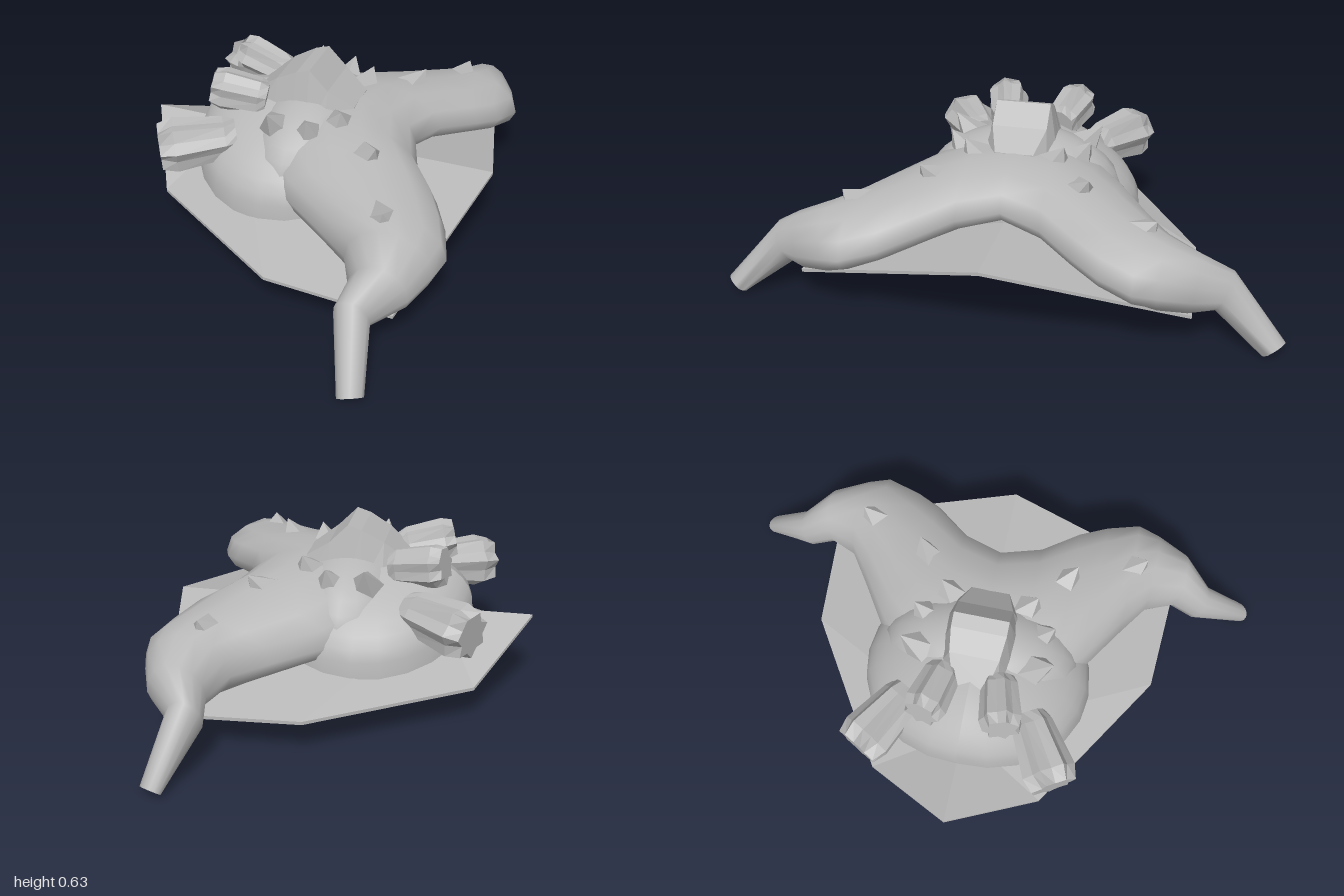
import * as THREE from 'three';

const armour = new THREE.MeshStandardMaterial({ color: 0xb8b8b8, side: THREE.DoubleSide });
armour.name = 'grey armour';

// Height of the tent-shaped plate at a given z
const plateY = z => 0.295 - 0.24 * Math.abs(z);

function buildGeometry(points, index, flat) {
  let g = new THREE.BufferGeometry();
  g.setAttribute('position', new THREE.Float32BufferAttribute(points.flat(), 3));
  g.setIndex(index);
  if (flat) g = g.toNonIndexed();
  g.computeVertexNormals();
  return g;
}

// Skin through rings of equal size, closed with a fan at both ends
function loft(rings, flat) {
  const n = rings[0].length, pts = rings.flat(), index = [];
  for (let i = 0; i < rings.length - 1; i++)
    for (let j = 0; j < n; j++) {
      const a = i * n + j, b = i * n + (j + 1) % n;
      index.push(a, b, a + n, b, b + n, a + n);
    }
  const last = (rings.length - 1) * n;
  for (let j = 1; j < n - 1; j++) index.push(0, j + 1, j, last, last + j, last + j + 1);
  return buildGeometry(pts, index, flat);
}

export function createModel() {
  const model = new THREE.Group();
  model.name = 'shoulderArmour';
  const add = (name, geometry) => {
    const mesh = new THREE.Mesh(geometry, armour);
    mesh.name = name;
    model.add(mesh);
    return mesh;
  };

  // Folded base plate, top and underside plus rim
  const rim = [[-0.67, 0.297, 0], [-0.49, 0.145, 0.32], [0.05, 0.142, 0.66], [0.52, 0.142, 0.69],
    [0.668, 0.302, 0], [0.52, 0.142, -0.69], [0.05, 0.142, -0.66], [-0.49, 0.145, -0.32]];
  const top = [...rim, [-0.33, 0.297, 0]];
  const under = top.map(([x, y, z]) => [x, y - 0.012, z]);
  const index = [];
  for (let i = 0; i < 8; i++) {
    const j = (i + 1) % 8;
    index.push(8, i, j, 17, 9 + j, 9 + i, i, 9 + i, j, j, 9 + i, 9 + j);
  }
  add('basePlate', buildGeometry([...top, ...under], index, true));

  // Dome that follows the fold of the plate
  const dome = new THREE.SphereGeometry(1, 24, 10, 0, Math.PI * 2, 0, Math.PI / 2);
  const p = dome.attributes.position;
  for (let i = 0; i < p.count; i++) {
    const z = p.getZ(i) * 0.43;
    const h = 0.23 * Math.pow(Math.max(0, p.getY(i)), 0.75);
    p.setXYZ(i, -0.07 + p.getX(i) * 0.38, plateY(z) + h, z);
  }
  dome.computeVertexNormals();
  add('dome', dome);

  // Central rise that carries the crest
  const mound = new THREE.SphereGeometry(1, 20, 8, 0, Math.PI * 2, 0, Math.PI / 2);
  mound.scale(0.23, 0.24, 0.37);
  mound.translate(-0.01, 0.295, 0);
  add('mound', mound);

  // Shoulders and drooping arms: z, xMin, xMax, yBottom, yTop, outward lean of the top
  const half = [
    [0.15, -0.14, 0.43, 0.25, 0.495, 0], [0.28, -0.1, 0.54, 0.22, 0.465, 0],
    [0.38, 0.0, 0.6, 0.19, 0.435, 0], [0.5, 0.19, 0.64, 0.165, 0.41, 0],
    [0.58, 0.31, 0.615, 0.15, 0.39, 0.005], [0.69, 0.365, 0.57, 0.14, 0.34, 0.02],
    [0.785, 0.35, 0.475, 0.12, 0.265, 0.03], [0.965, 0.435, 0.515, 0.003, 0.045, 0.033]];
  const stations = [...half.map(([z, ...r]) => [-z, ...r]).reverse(), [0, -0.15, 0.375, 0.28, 0.505, 0], ...half];
  const rings = stations.map(([z, x0, x1, y0, y1, lean]) => {
    const ring = [], yc = y0 + (y1 - y0) * 0.4;
    for (let k = 0; k < 14; k++) {
      const a = k / 14 * Math.PI * 2, c = Math.cos(a), s = Math.sin(a);
      const y = yc + s * (s > 0 ? y1 - yc : yc - y0);
      // the hand end slopes across x as well
      const end = Math.abs(z) > 0.9 ? -c * 0.018 : 0;
      ring.push([(x0 + x1) / 2 + c * (x1 - x0) / 2, y, z + Math.sign(z) * (s * lean + end)]);
    }
    return ring;
  });
  add('shouldersAndArms', loft(rings, false));

  // Raised crest in the middle: x, yTop, half width at the top
  const crest = [[-0.22, 0.5, 0.06], [-0.13, 0.575, 0.09], [-0.05, 0.62, 0.1], [0, 0.636, 0.1],
    [0.07, 0.565, 0.1], [0.16, 0.5, 0.07]];
  add('crest', loft(crest.map(([x, y, w]) =>
    [[x, 0.4, -w - 0.05], [x, y, -w], [x, y, w], [x, 0.4, w + 0.05]]), true));

  // Place a shape that points up so that it runs between two points
  const up = new THREE.Vector3(0, 1, 0);
  function between(name, geometry, from, to) {
    const a = new THREE.Vector3(...from), b = new THREE.Vector3(...to);
    const mesh = add(name, geometry);
    mesh.quaternion.setFromUnitVectors(up, b.clone().sub(a).normalize());
    mesh.position.copy(a).lerp(b, 0.5);
  }
  const distance = (a, b) => Math.hypot(a[0] - b[0], a[1] - b[1], a[2] - b[2]);

  // Fluted stub with a star-shaped section
  function stub(name, from, to, r0, r1) {
    const len = distance(from, to);
    const rows = [[-0.5, r0 * 0.8, 0.95], [-0.35, r0, 0.85], [0.3, r1, 0.82], [0.5, r1 * 0.85, 0.7]];
    const starRings = rows.map(([t, r, dip]) => Array.from({ length: 14 }, (_, k) => {
      const a = -k / 14 * Math.PI * 2, q = k % 2 ? r * dip : r;
      return [Math.cos(a) * q, t * len, Math.sin(a) * q];
    }));
    between(name, loft(starRings, true), from, to);
  }

  function spike(from, to, r) {
    const g = new THREE.ConeGeometry(r, distance(from, to), 5).toNonIndexed();
    g.computeVertexNormals();
    between('spike', g, from, to);
  }

  for (const s of [1, -1]) {
    // Fluted stubs on the front edge of the dome
    stub('outerStub', [-0.24, 0.38, s * 0.22], [-0.48, 0.36, s * 0.36], 0.08, 0.102);
    stub('innerStub', [-0.165, 0.49, s * 0.1], [-0.36, 0.525, s * 0.145], 0.07, 0.08);

    // Broad spikes over the dome and shoulders
    spike([-0.08, 0.36, s * 0.14], [-0.09, 0.535, s * 0.28], 0.13);
    spike([0.03, 0.36, s * 0.16], [0.05, 0.525, s * 0.26], 0.13);
    spike([0.11, 0.38, s * 0.1], [0.15, 0.54, s * 0.18], 0.14);
    spike([0.23, 0.36, s * 0.22], [0.32, 0.5, s * 0.3], 0.13);
    spike([0.4, 0.32, s * 0.46], [0.43, 0.43, s * 0.55], 0.13);
  }

  // Thin strap under the plate
  const strap = new THREE.Shape();
  const path = [[-0.18, 0.245], [-0.075, 0.08], [0.075, 0.08], [0.18, 0.245],
    [0.16, 0.25], [0.066, 0.097], [-0.066, 0.097], [-0.16, 0.25]];
  strap.setFromPoints(path.map(([z, y]) => new THREE.Vector2(z, y)));
  const strapMesh = add('strap', new THREE.ExtrudeGeometry(strap, { depth: 0.04, bevelEnabled: false }));
  strapMesh.rotation.y = Math.PI / 2;
  strapMesh.position.x = 0.165;

  return model;
}
